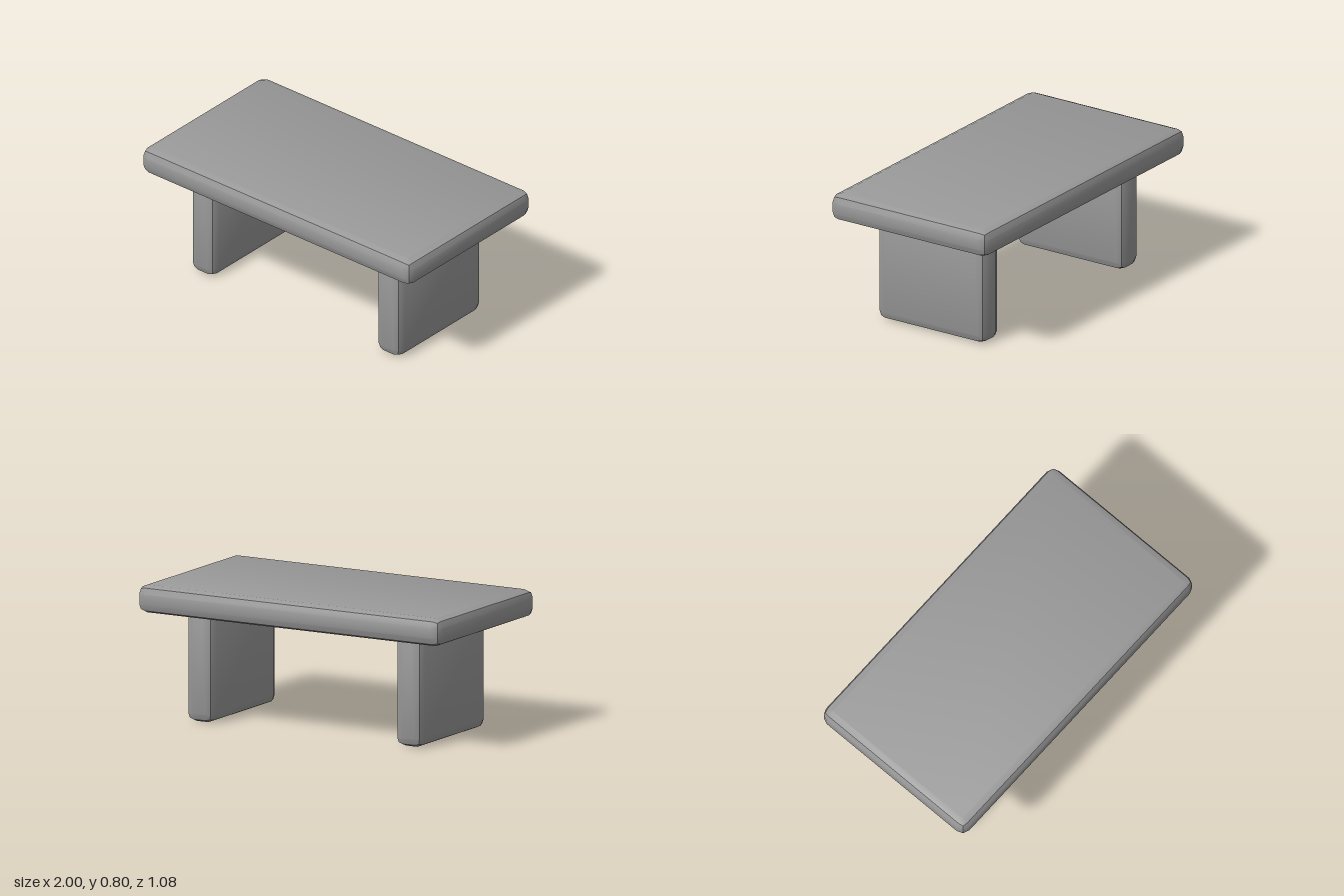
import * as THREE from 'three';
import { RoundedBoxGeometry } from 'three/addons/geometries/RoundedBoxGeometry.js';
import { toCreasedNormals } from 'three/addons/utils/BufferGeometryUtils.js';

export function createModel() {
  const table = new THREE.Group();
  table.name = 'table';
  const grey = new THREE.MeshStandardMaterial({ color: 0x999999 });
  grey.name = 'grey';

  // Slab with a two-facet bevel and a crease along the middle of each edge
  function addSlab(name, width, depth, bottom, top, x = 0) {
    const box = new RoundedBoxGeometry(width, top - bottom, depth, 1, 0.05);
    const mesh = new THREE.Mesh(toCreasedNormals(box, 0.5), grey);
    mesh.name = name;
    mesh.position.set(x, (top + bottom) / 2, 0);
    table.add(mesh);
  }

  addSlab('tabletop', 2, 1.08, 0.634, 0.795);

  // Panel legs, let into the underside of the tabletop
  addSlab('leftLeg', 0.175, 0.74, 0, 0.7, 0.69);
  addSlab('rightLeg', 0.175, 0.74, 0, 0.7, -0.69);

  return table;
}
